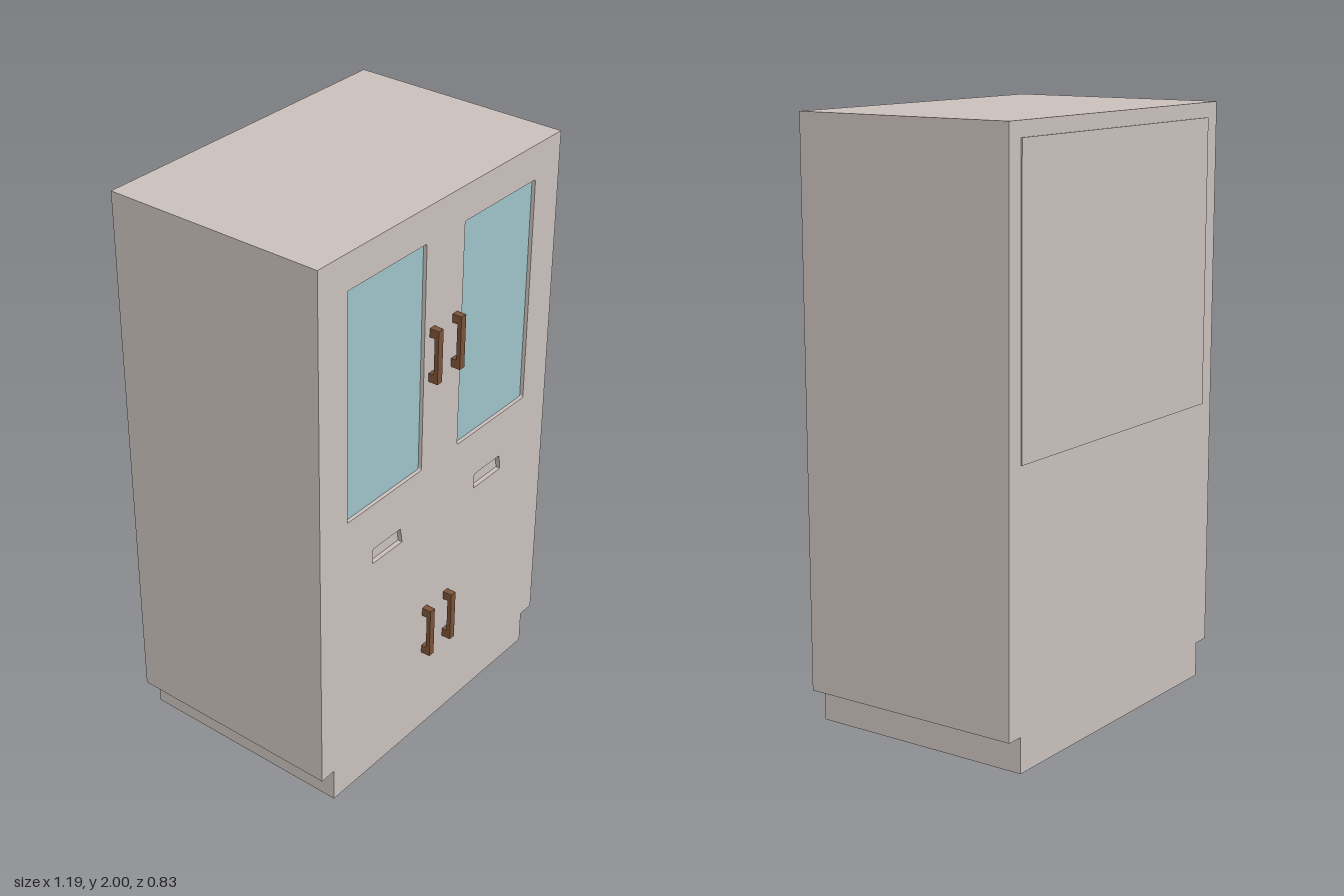
import * as THREE from 'three';

const mat = (color) => new THREE.MeshStandardMaterial({ color });

function outline(points, Type = THREE.Shape) {
  return new Type(points.map(([x, y]) => new THREE.Vector2(x, y)));
}

// Opening with slightly rounded corners
function roundedOpening(x0, x1, y0, y1, r, Type) {
  const p = new Type();
  p.moveTo(x0 + r, y0);
  p.lineTo(x1 - r, y0);
  p.quadraticCurveTo(x1, y0, x1, y0 + r);
  p.lineTo(x1, y1 - r);
  p.quadraticCurveTo(x1, y1, x1 - r, y1);
  p.lineTo(x0 + r, y1);
  p.quadraticCurveTo(x0, y1, x0, y1 - r);
  p.lineTo(x0, y0 + r);
  p.quadraticCurveTo(x0, y0, x0 + r, y0);
  return p;
}

export function createModel() {
  const model = new THREE.Group();
  const wood = mat(0xcbc1bd);
  const glass = mat(0x9fc4ca);
  const brown = mat(0x7a5238);

  const add = (parent, name, geometry, material, x = 0, y = 0, z = 0) => {
    const mesh = new THREE.Mesh(geometry, material);
    mesh.name = name;
    mesh.position.set(x, y, z);
    parent.add(mesh);
  };
  const extrude = (shape, depth) =>
    new THREE.ExtrudeGeometry(shape, { depth, bevelEnabled: false, curveSegments: 4 });

  // Cabinet silhouette with the narrower plinth
  const W = 0.597, P = 0.537, back = -0.41, front = 0.38, skin = 0.016;
  const silhouette = [[-P, 0], [P, 0], [P, 0.12], [W, 0.12], [W, 2], [-W, 2], [-W, 0.12], [-P, 0.12]];
  add(model, 'carcass', extrude(outline(silhouette), front - skin - back), wood, 0, 0, back);

  // Front face with window openings and recessed drawer pulls
  const face = outline(silhouette);
  const windows = [[-0.467, -0.095], [0.095, 0.467]];
  for (const [a, b] of windows) face.holes.push(roundedOpening(a, b, 1.08, 1.88, 0.008, THREE.Path));
  for (const x of [-0.34, 0.2]) {
    face.holes.push(outline([
      [x, 0.855], [x + 0.15, 0.855], [x + 0.147, 0.88], [x + 0.14, 0.91], [x + 0.005, 0.91], [x, 0.905],
    ], THREE.Path));
  }
  add(model, 'frontFace', extrude(face, skin), wood, 0, 0, front - skin);

  // Glass panes set back in the openings
  for (const [a, b] of windows) {
    add(model, 'glassPane', new THREE.BoxGeometry(b - a, 0.8, 0.004), glass, (a + b) / 2, 1.48, front - skin + 0.001);
  }

  // Thin panel on the upper back
  add(model, 'backPanel', new THREE.BoxGeometry(2 * P, 0.97, 0.008), wood, 0, 1.465, back);

  // Bar handles on the upper and lower doors
  for (const y of [1.49, 0.42]) {
    for (const x of [-0.058, 0.058]) {
      const handle = new THREE.Group();
      handle.name = 'handle';
      handle.position.set(x, y, front);
      add(handle, 'grip', new THREE.BoxGeometry(0.024, 0.188, 0.015), brown, 0, 0, 0.0265);
      for (const s of [-1, 1]) {
        add(handle, 'handlePost', new THREE.BoxGeometry(0.024, 0.03, 0.019), brown, 0, s * 0.079, 0.0095);
      }
      model.add(handle);
    }
  }
  return model;
}
